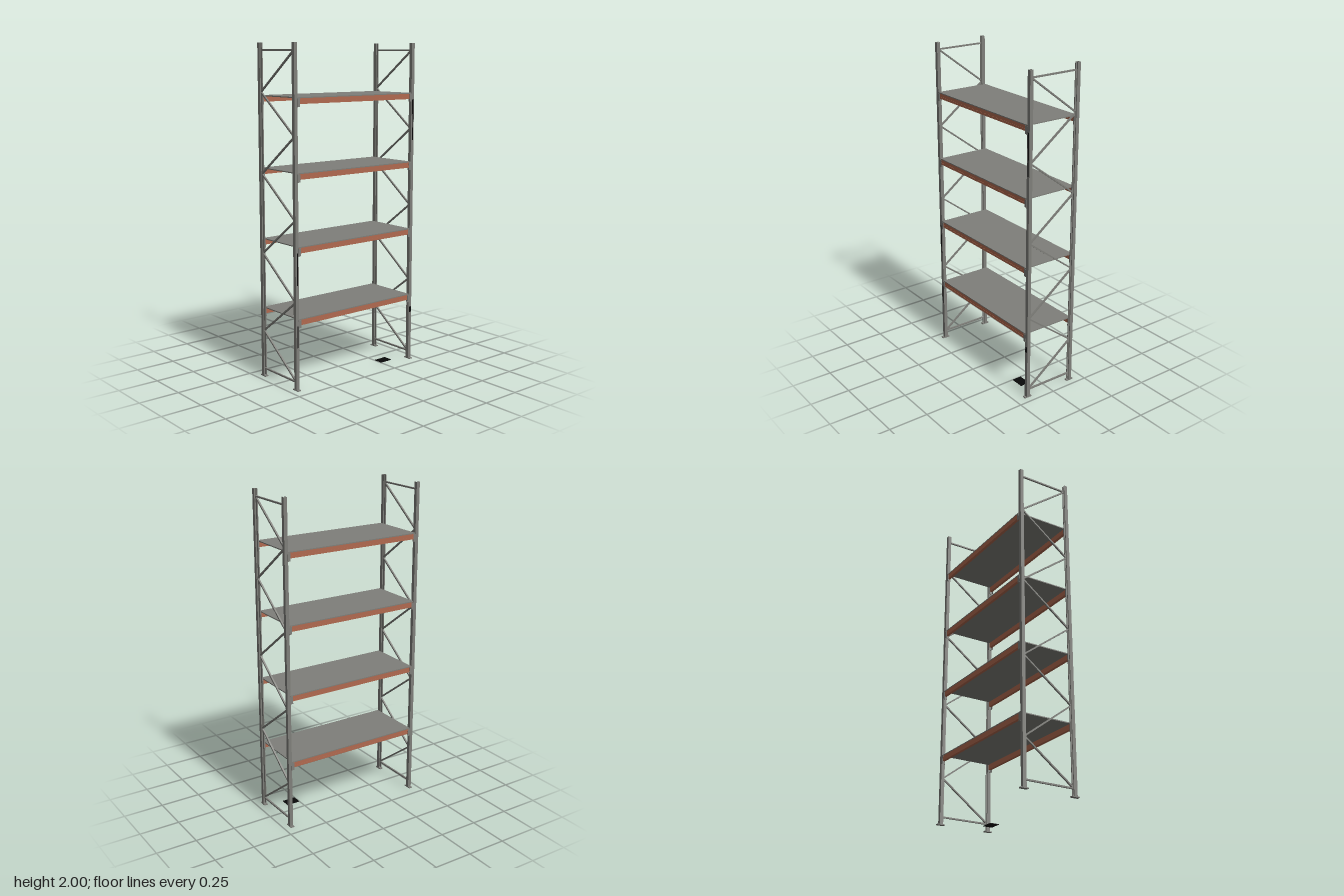
import * as THREE from 'three';

const POST_X = 0.45, POST_Z = 0.163, POST_W = 0.022;
const LEVELS = [0.43, 0.854, 1.277, 1.7];

export function createModel() {
  const model = new THREE.Group();
  model.name = 'palletRack';

  const material = (name, color) => {
    const m = new THREE.MeshStandardMaterial({ color });
    m.name = name;
    return m;
  };
  const steel = material('greySteel', 0x7f7f7a);
  const brown = material('brownBeam', 0xb0694f);
  const black = material('blackMarker', 0x0a0a0a);

  const add = (parent, name, geometry, mat, x = 0, y = 0, z = 0) => {
    const mesh = new THREE.Mesh(geometry, mat);
    mesh.name = name;
    mesh.position.set(x, y, z);
    parent.add(mesh);
    return mesh;
  };
  // Box given by its size and centre
  const box = (parent, name, mat, w, h, d, x, y, z) =>
    add(parent, name, new THREE.BoxGeometry(w, h, d), mat, x, y, z);

  // Upright: lipped channel, open towards the middle of the frame
  const h = POST_W / 2, t = 0.003, lip = 0.006;
  const channel = new THREE.Shape([
    [-h, -h], [h, -h], [h, h], [h - lip, h], [h - lip, h - t], [h - t, h - t],
    [h - t, t - h], [t - h, t - h], [t - h, h - t], [lip - h, h - t], [lip - h, h], [-h, h],
  ].map(([x, y]) => new THREE.Vector2(x, y)));
  const postGeometry = new THREE.ExtrudeGeometry(channel, { depth: 1.994, bevelEnabled: false });
  postGeometry.rotateX(-Math.PI / 2);

  // Flat bar in the side plane from (y0, z0) to (y1, z1)
  const brace = (parent, name, x, y0, z0, y1, z1) => {
    const length = Math.hypot(y1 - y0, z1 - z0);
    const bar = box(parent, name, steel, 0.01, 0.009, length, x, (y0 + y1) / 2, (z0 + z1) / 2);
    bar.rotation.x = -Math.atan2(y1 - y0, z1 - z0);
  };

  // Two side frames
  for (const sx of [-1, 1]) {
    const frame = new THREE.Group();
    frame.name = sx > 0 ? 'leftFrame' : 'rightFrame';
    model.add(frame);
    const x = sx * POST_X;

    for (const sz of [-1, 1]) {
      const post = add(frame, 'upright', postGeometry, steel, x, 0.006, sz * POST_Z);
      if (sz < 0) post.rotation.y = Math.PI;
      box(frame, 'footPlate', steel, 0.023, 0.006, 0.048, x, 0.003, sz * POST_Z);
    }

    // Horizontal ties and zigzag bracing
    const reach = 0.158, low = 0.05, step = 0.2384;
    brace(frame, 'bottomTie', x, low, -reach, low, reach);
    brace(frame, 'topTie', x, low + 8 * step, -reach, low + 8 * step, reach);
    for (let i = 0; i < 8; i++) {
      const z = i % 2 ? -reach : reach;
      brace(frame, 'diagonalBrace', x, low + i * step, z, low + (i + 1) * step, -z);
    }
  }

  // Shelf levels: deck panel, two beams, four end connectors
  for (const y of LEVELS) {
    const shelf = new THREE.Group();
    shelf.name = 'shelf';
    shelf.position.y = y;
    model.add(shelf);
    box(shelf, 'deckPanel', steel, 0.876, 0.006, 0.346, 0, -0.003, 0);
    for (const sz of [-1, 1]) {
      box(shelf, 'beam', brown, 0.868, 0.032, 0.016, 0, -0.022, sz * 0.164);
      box(shelf, 'beamLowerRib', brown, 0.868, 0.013, 0.002, 0, -0.0315, sz * 0.1725);
      for (const sx of [-1, 1]) {
        // Angle connector: one leg on the beam, one hooked round the post
        box(shelf, 'connectorFace', steel, 0.018, 0.046, 0.003, sx * 0.433, -0.03, sz * 0.1745);
        box(shelf, 'connectorHook', steel, 0.004, 0.05, 0.024, sx * 0.438, -0.03, sz * 0.164);
      }
    }
  }

  // Thin dark markers on the front uprights: x, bottom, top, width
  for (const [x, y0, y1, w] of [
    [0.45, 1.57, 1.66, 0.011], [0.452, 1.41, 1.57, 0.006], [0.45, 0.31, 0.345, 0.014],
    [-0.449, 0.63, 0.82, 0.007], [-0.449, 0.26, 0.39, 0.008],
  ]) box(model, 'uprightMarker', black, w, y1 - y0, 0.002, x, (y0 + y1) / 2, 0.175);

  // Small dark plate on the floor
  box(model, 'floorPlate', black, 0.085, 0.003, 0.06, 0.295, 0.0015, 0.093);

  return model;
}
